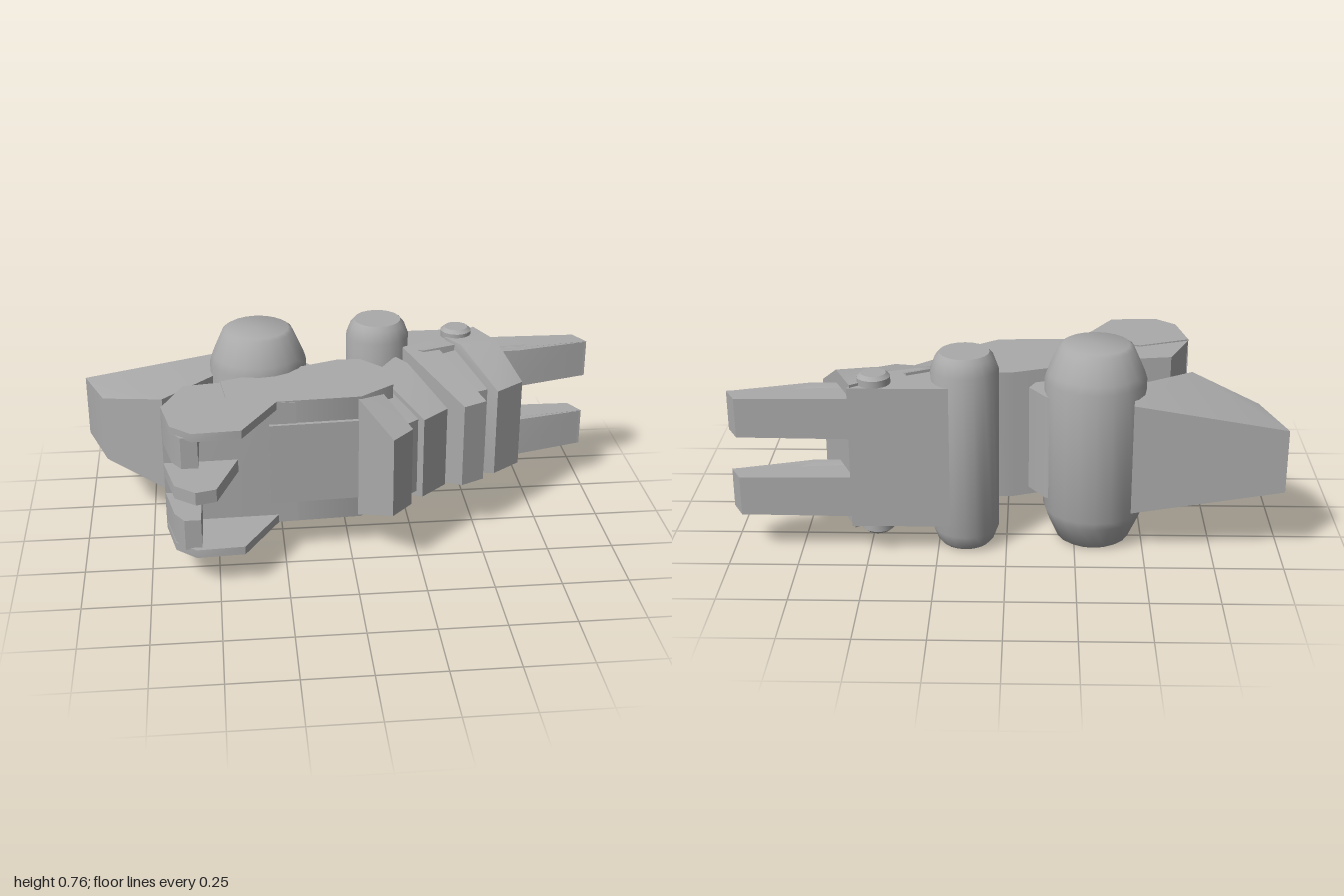
import * as THREE from 'three';
import { toCreasedNormals } from 'three/addons/utils/BufferGeometryUtils.js';
import { ConvexGeometry } from 'three/addons/geometries/ConvexGeometry.js';

const MID = 0.38; // the whole model is mirrored about this height

export function createModel() {
  const model = new THREE.Group();
  model.name = 'mechanicalClaw';
  const grey = new THREE.MeshStandardMaterial({ color: 0xaaaaaa });
  grey.name = 'armourGrey';

  const add = (name, geometry) => {
    const mesh = new THREE.Mesh(geometry, grey);
    mesh.name = name;
    model.add(mesh);
    return mesh;
  };

  // Convex block: plan points [x, z, halfHeight] mirrored above and below a centre height
  const block = (name, plan, centre = MID) => {
    const points = plan.flatMap(([x, z, h]) => [
      new THREE.Vector3(x, centre + h, z),
      new THREE.Vector3(x, centre - h, z),
    ]);
    return add(name, toCreasedNormals(new ConvexGeometry(points), 0.8));
  };
  const slab = (name, plan, h, centre) => block(name, plan.map(([x, z]) => [x, z, h]), centre);

  // Upright roller with bevelled ends: profile lists [radius, height above the middle]
  const roller = (name, x, z, upper) => {
    const lower = upper.map(([r, y]) => [r, -y]).reverse();
    const profile = [...lower, ...upper].map(([r, y]) => new THREE.Vector2(r, y));
    const mesh = add(name, toCreasedNormals(new THREE.LatheGeometry(profile, 20), 0.7));
    mesh.position.set(x, MID, z);
  };

  // Rear fin
  block('rearFin', [
    [-1, -0.405, 0.12], [-0.92, -0.18, 0.13], [-0.69, -0.02, 0.19],
    [-0.47, -0.2, 0.21], [-0.45, -0.405, 0.21],
  ]);

  // Rollers
  roller('heelRoller', -0.32, -0.232, [[0.185, 0.25], [0.175, 0.28], [0.135, 0.37], [0.12, 0.38], [0, 0.38]]);
  roller('knuckleRoller', 0.15, -0.297, [[0.122, 0.31], [0.105, 0.355], [0.09, 0.372], [0, 0.372]]);
  roller('hingePin', 0.47, -0.345, [[0.06, 0.28], [0.06, 0.295], [0.045, 0.308], [0, 0.308]]);

  // Palm body and the link to the heel roller
  slab('palmRear', [[-0.69, 0.17], [-0.61, -0.01], [-0.47, -0.03], [-0.3, -0.04], [-0.2, 0.17], [-0.6, 0.18]], 0.245);
  slab('palmCore', [
    [-0.47, -0.03], [-0.02, -0.19], [0.07, -0.19], [0.17, -0.08],
    [0.17, 0.06], [0.04, 0.155], [-0.27, 0.17], [-0.45, 0.15],
  ], 0.25);
  slab('palmPanel', [[-0.3, 0.15], [0.03, 0.13], [0.03, 0.172], [-0.3, 0.187]], 0.16);
  slab('heelLink', [[-0.25, -0.35], [-0.14, -0.3], [-0.08, -0.21], [-0.14, -0.08], [-0.25, -0.08]], 0.2);

  // Forked mouth: thin flanges with corner blocks, above and below
  for (const side of [1, -1]) {
    slab('forkFlange', [
      [-0.69, 0.17], [-0.655, 0.34], [-0.58, 0.405], [-0.405, 0.395], [-0.27, 0.17], [-0.5, 0.1],
    ], 0.016, MID + side * 0.234);
    slab('forkBlock', [
      [-0.69, 0.16], [-0.655, 0.33], [-0.62, 0.385], [-0.56, 0.385], [-0.555, 0.16],
    ], 0.06, MID + side * 0.165);
  }
  slab('mouthTab', [[-0.69, 0.18], [-0.65, 0.36], [-0.575, 0.42], [-0.5, 0.4], [-0.415, 0.17]], 0.025);

  // Slanted armour plates with chamfered front ends
  block('firstPlate', [
    [0.02, 0.14, 0.25], [0.1, 0.03, 0.25], [0.14, 0.335, 0.155], [0.22, 0.25, 0.155],
  ]);
  block('secondPlate', [
    [0.12, -0.06, 0.25], [0.21, -0.2, 0.25], [0.25, -0.13, 0.25],
    [0.27, 0.19, 0.16], [0.37, 0.1, 0.16],
  ]);
  block('thirdPlate', [
    [0.24, -0.22, 0.28], [0.36, -0.28, 0.28], [0.435, 0.105, 0.165], [0.525, 0.06, 0.165],
  ]);
  block('fourthPlate', [
    [0.42, -0.3, 0.28], [0.55, -0.4, 0.28], [0.615, -0.25, 0.28], [0.47, -0.22, 0.28],
    [0.58, 0, 0.175], [0.69, -0.08, 0.175],
  ]);

  // Recessed spacers between the plates
  block('frontSpacer', [[0.08, 0.05, 0.22], [0.15, -0.04, 0.22], [0.29, 0.13, 0.15], [0.2, 0.2, 0.15]]);
  block('rearSpacer', [[0.38, -0.2, 0.25], [0.47, -0.25, 0.25], [0.56, -0.06, 0.16], [0.49, -0.03, 0.16]]);
  slab('plateLink', [[0.2, -0.15], [0.3, -0.2], [0.39, -0.13], [0.28, -0.05]], 0.17);

  // Finger base
  slab('fingerBase', [[0.15, -0.405], [0.56, -0.405], [0.52, -0.27], [0.32, -0.2], [0.2, -0.25]], 0.27);

  // Two flat fingers
  for (const side of [1, -1]) {
    const y = MID + side * 0.153;
    block('finger', [
      [0.53, -0.405, 0.078], [0.96, -0.405, 0.074], [1, -0.33, 0.074],
      [0.71, -0.285, 0.078], [0.55, -0.27, 0.078],
    ], y);
    block('fingerPad', [
      [0.58, -0.3, 0.078], [0.71, -0.31, 0.078], [0.99, -0.34, 0.073],
      [0.99, -0.327, 0.073], [0.715, -0.257, 0.078], [0.6, -0.25, 0.078],
    ], y);
  }
  return model;
}
